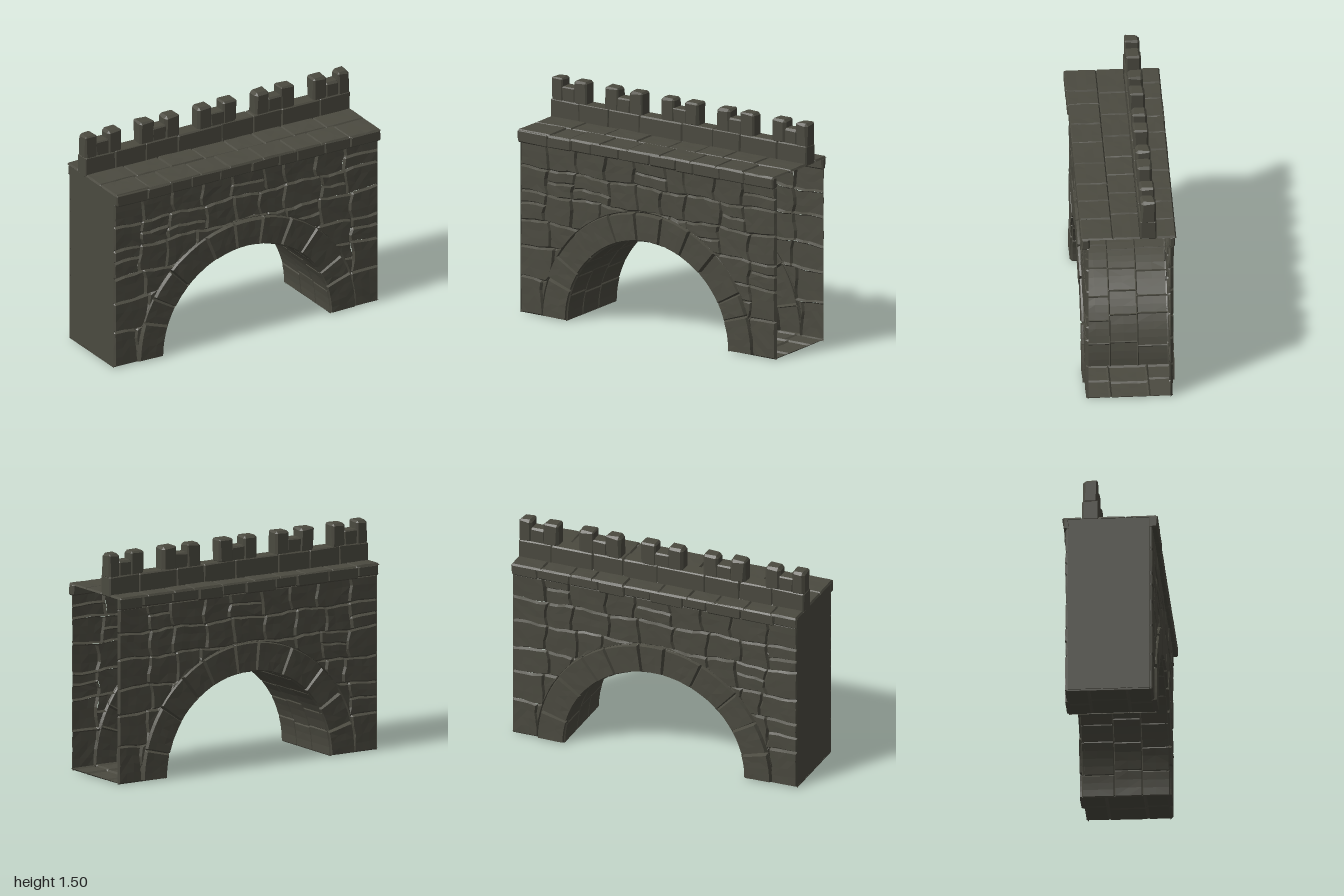
import * as THREE from 'three';
import { ConvexGeometry } from 'three/addons/geometries/ConvexGeometry.js';

const RING_IN = 0.63, RING_OUT = 0.82, WALL_TOP = 1.16;

export function createModel() {
  const stone = new THREE.MeshStandardMaterial({ color: 0x4b4a40, flatShading: true, side: THREE.DoubleSide });
  stone.name = 'dark stone';
  const model = new THREE.Group();
  model.name = 'stoneArchBridge';

  let seed = 7;
  const rand = (a = 0, b = 1) => {
    seed = (seed * 16807) % 2147483647;
    return a + (b - a) * (seed / 2147483647);
  };

  const addMesh = (name, geometry, parent = model) => {
    const mesh = new THREE.Mesh(geometry, stone);
    mesh.name = name;
    parent.add(mesh);
    return mesh;
  };

  const meshFromPoints = (name, points) => {
    const g = new THREE.BufferGeometry().setFromPoints(points);
    g.computeVertexNormals();
    return addMesh(name, g);
  };

  // Irregular joint positions from a to b, near the given spacing
  const joints = (a, b, spacing) => {
    const n = Math.max(1, Math.round((b - a) / spacing));
    const list = [a];
    for (let i = 1; i < n; i++) list.push(a + (b - a) * (i + rand(-0.22, 0.22)) / n);
    list.push(b);
    return list;
  };

  // Grid lines across one stone: a bevel strip at each side, even steps between
  const gridLines = (a, b, bevel, step) => {
    const n = Math.max(1, Math.ceil((b - a - 2 * bevel) / step));
    const list = [a];
    for (let i = 0; i <= n; i++) list.push(a + bevel + (b - a - 2 * bevel) * i / n);
    list.push(b);
    return list;
  };

  // One bevelled stone face; place(u, v, h, inset) puts it on its surface
  const addStone = (out, u0, u1, v0, v1, place, { height = 0.018, bevelU = 0.011, bevelV = 0.011, step = 0.07, rough = 0.003 } = {}) => {
    const us = gridLines(u0, u1, bevelU, step), vs = gridLines(v0, v1, bevelV, step);
    const h = height + rand(-rough, rough), tiltU = rand(-rough, rough), tiltV = rand(-rough, rough);
    const pts = us.map((u, i) => vs.map((v, j) => {
      const edge = i === 0 || j === 0 || i === us.length - 1 || j === vs.length - 1;
      const tilt = tiltU * (i / us.length - 0.5) + tiltV * (j / vs.length - 0.5);
      return place(u, v, edge ? 0 : h + tilt + rand(-rough, rough) * 0.5, edge ? 0 : bevelU);
    }));
    for (let i = 0; i < us.length - 1; i++) {
      for (let j = 0; j < vs.length - 1; j++) {
        const a = pts[i][j], b = pts[i + 1][j], c = pts[i + 1][j + 1], d = pts[i][j + 1];
        if (rand() < 0.5) out.push(a, b, c, a, c, d);
        else out.push(a, b, d, b, c, d);
      }
    }
  };

  // Chipped block: a box with uneven cut corners
  const block = (name, x0, x1, y0, y1, z0, z1, cut, parent) => {
    const pts = [];
    for (const [x, sx] of [[x0, 1], [x1, -1]])
      for (const [y, sy] of [[y0, 1], [y1, -1]])
        for (const [z, sz] of [[z0, 1], [z1, -1]]) {
          const c = cut * rand(0.5, 1.5);
          pts.push(new THREE.Vector3(x, y + sy * c, z + sz * c),
            new THREE.Vector3(x + sx * c, y, z + sz * c),
            new THREE.Vector3(x + sx * c, y + sy * c, z));
        }
    return addMesh(name, new ConvexGeometry(pts), parent);
  };

  // Coursed wall position: joints wander, and stones stop at the arch ring
  const wallPoint = (u, v, inset) => {
    const fadeU = Math.min(1, 8 * (1 - Math.abs(u))), fadeV = Math.min(1, 8 * Math.min(v, WALL_TOP - v));
    let x = u + fadeU * (0.01 * Math.sin(v * 25 + u * 7) + 0.004 * Math.sin(v * 71));
    let y = v + fadeV * (0.008 * Math.sin(u * 13 + v * 9) + 0.004 * Math.sin(u * 47));
    const r = Math.hypot(x, y), limit = RING_OUT - 0.004 + inset;
    if (r < limit) { x *= limit / r; y *= limit / r; }
    return [x, Math.max(0, y)];
  };

  // Front and back walls with their arch rings
  const courses = [0, 0.245, 0.46, 0.63, 0.82, 0.99, WALL_TOP];
  for (const [side, sign, z] of [['front', 1, 0.258], ['back', -1, 0.27]]) {
    const wall = [], ring = [];
    const placeWall = (u, v, h, inset) => {
      const [x, y] = wallPoint(u, v, inset);
      return new THREE.Vector3(sign * x, y, sign * (z + h));
    };
    for (let k = 0; k < courses.length - 1; k++) {
      const y0 = courses[k], y1 = courses[k + 1];
      const xs = joints(-1, 1, 0.23);
      for (let i = 0; i < xs.length - 1; i++) {
        const far = Math.hypot(Math.max(Math.abs(xs[i]), Math.abs(xs[i + 1])), y1);
        if (far < RING_OUT) continue;
        if (rand() < 0.15) {
          const mid = y0 + (y1 - y0) * rand(0.4, 0.6);
          addStone(wall, xs[i], xs[i + 1], y0, mid, placeWall);
          addStone(wall, xs[i], xs[i + 1], mid, y1, placeWall);
        } else addStone(wall, xs[i], xs[i + 1], y0, y1, placeWall);
      }
    }
    const placeRing = (t, r, h) => new THREE.Vector3(sign * r * Math.sin(t), Math.max(0, r * Math.cos(t)), sign * (z + h));
    const ts = joints(-Math.PI / 2, Math.PI / 2, Math.PI / 11);
    for (let i = 0; i < ts.length - 1; i++)
      addStone(ring, ts[i], ts[i + 1], RING_IN, RING_OUT + rand(-0.004, 0.012), placeRing,
        { height: 0.032, bevelU: 0.014, bevelV: 0.01 });
    meshFromPoints(side + 'Wall', wall);
    meshFromPoints(side + 'ArchRing', ring);
  }

  // Underside of the arch, in three strips of stones
  const vault = [];
  const placeVault = (t, z, h) => {
    const r = RING_IN + 0.006 - h;
    return new THREE.Vector3(r * Math.sin(t), Math.max(0, r * Math.cos(t)), z);
  };
  const strips = [-0.29, -0.08, 0.1, 0.278];
  for (let k = 0; k < 3; k++) {
    const ts = joints(-Math.PI / 2, Math.PI / 2, 0.27);
    for (let i = 0; i < ts.length - 1; i++)
      addStone(vault, ts[i], ts[i + 1], strips[k], strips[k + 1], placeVault,
        { height: 0.007, bevelU: 0.01, bevelV: 0.006, step: 0.1, rough: 0.0015 });
  }
  meshFromPoints('archUnderside', vault);

  // Feet of the two piers
  for (const [name, x0, x1] of [['rightPierFoot', -1, -RING_IN], ['leftPierFoot', RING_IN, 1]]) {
    const foot = [];
    const zs = joints(-0.285, 0.272, 0.19);
    for (let k = 0; k < zs.length - 1; k++) {
      const xs = joints(x0, x1, 0.2);
      for (let i = 0; i < xs.length - 1; i++)
        addStone(foot, xs[i], xs[i + 1], zs[k], zs[k + 1],
          (x, z, h) => new THREE.Vector3(x, Math.max(0, 0.012 - h), z), { height: 0.01, rough: 0.002 });
    }
    meshFromPoints(name, foot);
  }

  // Plain closed end; the opposite end stays open
  const end = addMesh('plainEnd', new THREE.PlaneGeometry(0.55, 1.22));
  end.rotation.y = -Math.PI / 2;
  end.position.set(-0.998, 0.61, -0.006);

  // Walkway paving
  const paving = [];
  const placePaving = (x, w, h) => new THREE.Vector3(x, 1.222 + h, -w);
  for (const [w0, w1, spacing] of [[-0.303, -0.1, 0.22], [-0.1, 0.08, 0.24], [0.08, 0.18, 0.4], [0.18, 0.308, 0.21]]) {
    const xs = joints(-1, 1, spacing);
    for (let i = 0; i < xs.length - 1; i++)
      addStone(paving, xs[i], xs[i + 1], w0, w1, placePaving, { height: 0.012, bevelU: 0.008, bevelV: 0.008 });
  }
  meshFromPoints('walkway', paving);

  // Overhanging rim along both edges of the walkway
  const rim = new THREE.Group();
  rim.name = 'walkwayRim';
  model.add(rim);
  for (const sign of [1, -1]) {
    const xs = joints(-1, 1, 0.2);
    for (let i = 0; i < xs.length - 1; i++) {
      const inner = sign * (sign > 0 ? 0.25 : 0.262), outer = sign * rand(0.299, 0.311);
      block('rimStone', xs[i], xs[i + 1], 1.15 + rand(-0.004, 0.006), 1.229,
        Math.min(inner, outer), Math.max(inner, outer), 0.008, rim);
    }
  }

  // Parapet with low stones and paired merlons
  const parapet = new THREE.Group();
  parapet.name = 'parapet';
  model.add(parapet);
  const px = joints(-1, 1, 0.25);
  for (let i = 0; i < px.length - 1; i++)
    block('parapetStone', px[i], px[i + 1], 1.215, 1.35, -0.18 + rand(-0.003, 0.003), -0.073 + rand(-0.003, 0.003), 0.007, parapet);
  for (let k = -2; k <= 2; k++) {
    const c = k * 0.437;
    const x0 = Math.max(-1, c - 0.148), x1 = Math.min(1, c + 0.148);
    const a = Math.abs(k) === 2 ? (k < 0 ? -0.912 : 0.83) : c - 0.042;
    const b = Math.abs(k) === 2 ? (k < 0 ? -0.83 : 0.912) : c + 0.042;
    block('merlon', x0, a, 1.335, 1.497, -0.176, -0.079, 0.013, parapet);
    block('merlonFiller', a - 0.012, b + 0.012, 1.335, 1.443 + rand(-0.006, 0.006), -0.172, -0.082, 0.011, parapet);
    block('merlon', b, x1, 1.335, 1.497, -0.176, -0.079, 0.013, parapet);
  }

  return model;
}
